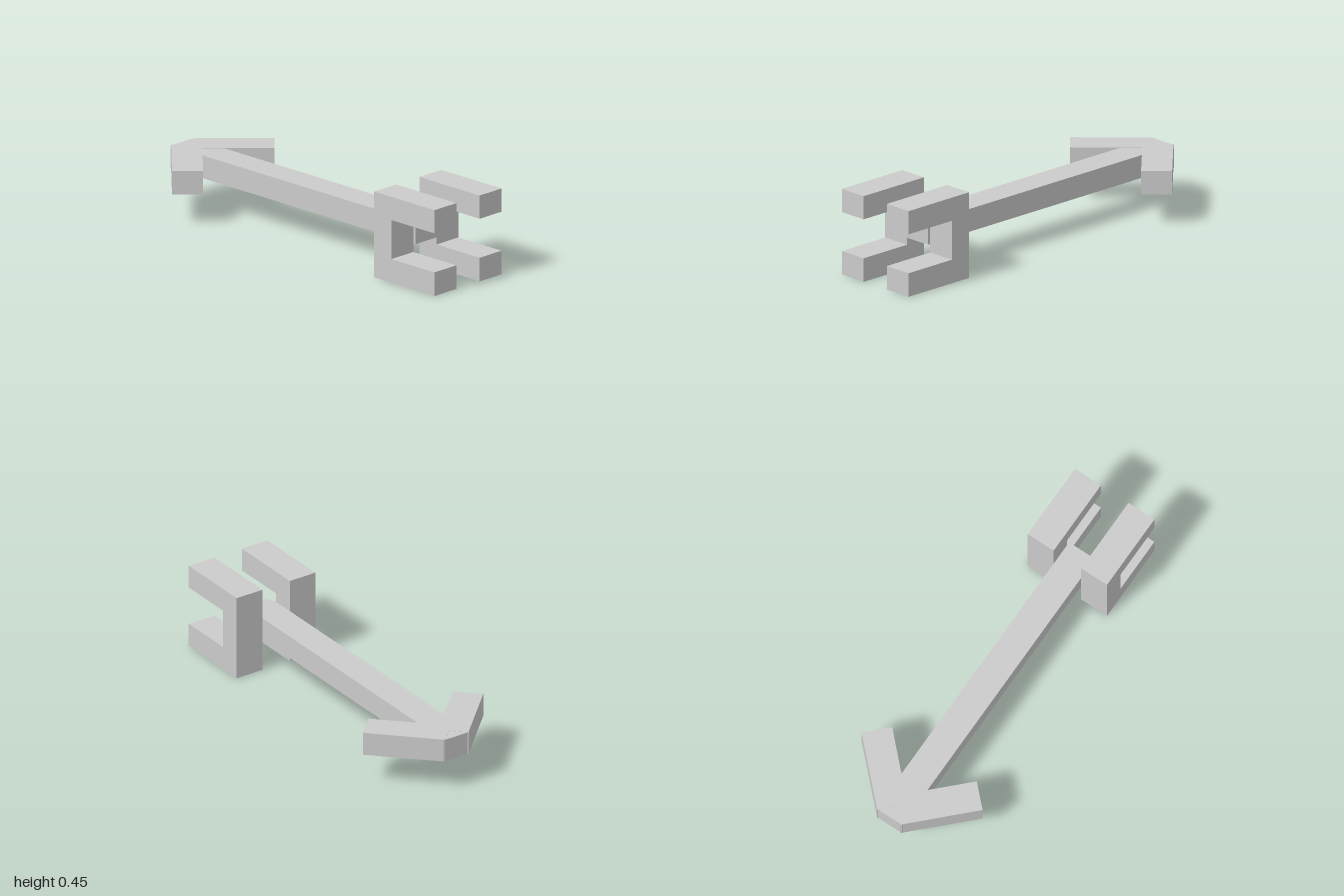
import * as THREE from 'three';

export function createModel() {
  const group = new THREE.Group();
  const material = new THREE.MeshStandardMaterial({ color: 0xcccccc, flatShading: true });
  const midY = 0.226;

  const add = (name, geometry, x, y, z) => {
    const mesh = new THREE.Mesh(geometry, material);
    mesh.name = name;
    mesh.position.set(x, y, z);
    group.add(mesh);
    return mesh;
  };

  // Long central shaft
  add('shaft', new THREE.BoxGeometry(0.156, 0.12, 1.708), 0, midY, -0.144);

  // C-shaped bracket profile: x runs along the model's z, y is up
  const profile = new THREE.Shape([
    [0.58, 0], [1, 0], [1, 0.124], [0.7, 0.124],
    [0.7, 0.329], [1, 0.329], [1, 0.451], [0.58, 0.451],
  ].map(([z, y]) => new THREE.Vector2(z, y)));
  const width = 0.156;
  const bracket = new THREE.ExtrudeGeometry(profile, { depth: width, bevelEnabled: false });
  bracket.translate(0, 0, -width / 2);
  bracket.rotateY(-Math.PI / 2);

  // Brackets beside the front end, swept-back barbs at the rear tip
  for (const [side, s] of [['left', 1], ['right', -1]]) {
    add(side + 'Bracket', bracket, s * 0.161, 0, 0);
    const barb = add(side + 'Barb', new THREE.BoxGeometry(0.416, 0.123, 0.155), s * 0.163, midY, -0.799);
    barb.rotation.y = -s * Math.PI / 4;
  }

  return group;
}
